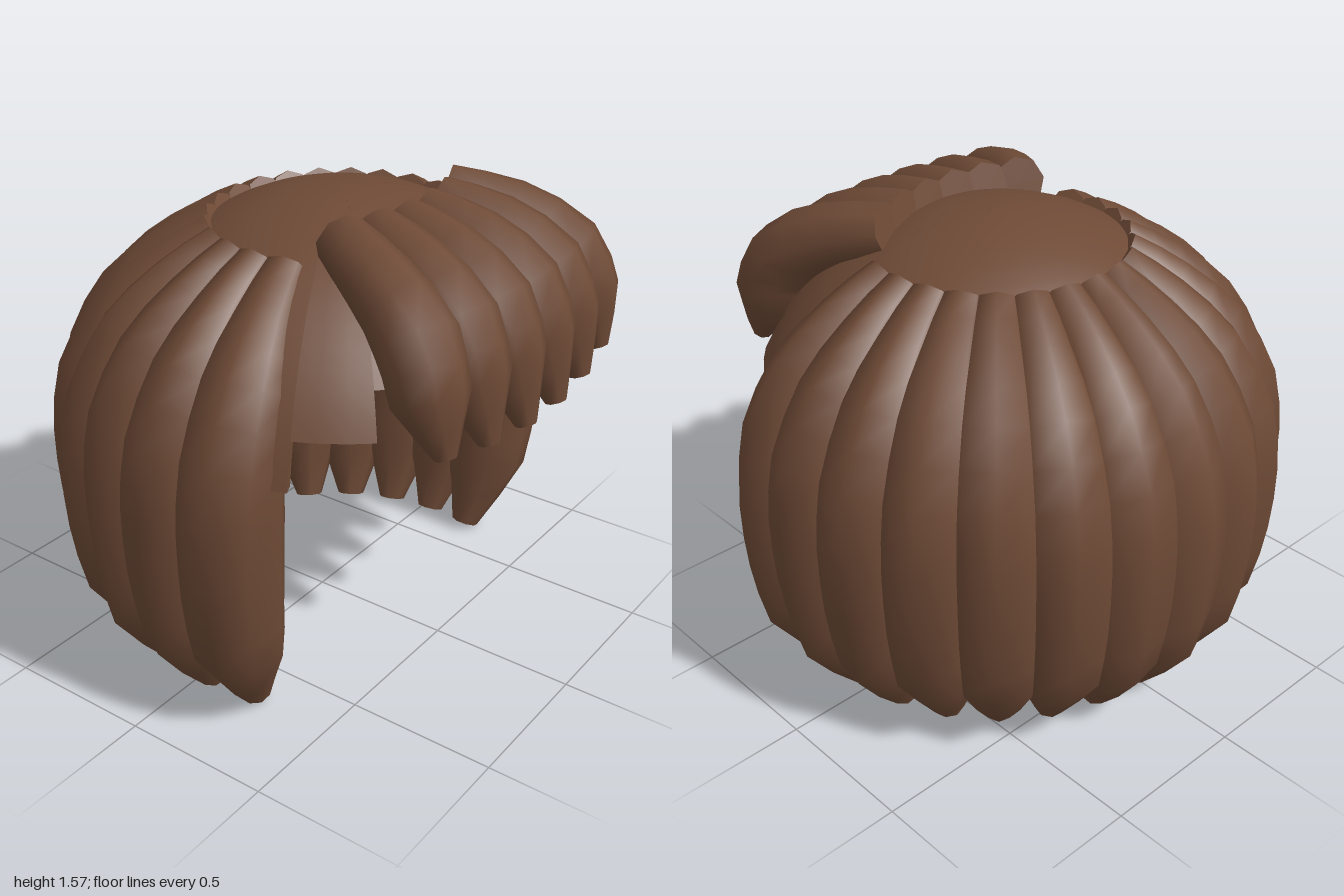
import * as THREE from 'three';
import { toCreasedNormals } from 'three/addons/utils/BufferGeometryUtils.js';

const SIDES = 8;
const CENTRE_Z = 0.08;
const rad = THREE.MathUtils.degToRad;

// Tapered strand: points are [x, y, z, radius]; closed at both ends
function strandGeometry(points) {
  const path = new THREE.CatmullRomCurve3(points.map(p => new THREE.Vector3(p[0], p[1], p[2])));
  const steps = (points.length - 1) * 2;
  const pos = [], idx = [];
  const rings = [], centres = [];
  for (let i = 0; i <= steps; i++) {
    const t = i / steps;
    const c = path.getPoint(t), T = path.getTangent(t);
    const N = new THREE.Vector3().crossVectors(T, new THREE.Vector3(1, 0, 0)).normalize();
    const S = new THREE.Vector3().crossVectors(N, T).normalize();
    const a = Math.floor(i / 2), b = Math.min(a + 1, points.length - 1);
    const r = THREE.MathUtils.lerp(points[a][3], points[b][3], (i % 2) / 2);
    const ring = [];
    for (let j = 0; j < SIDES; j++) {
      const ang = j / SIDES * Math.PI * 2;
      ring.push(c.clone().addScaledVector(N, r * Math.cos(ang)).addScaledVector(S, r * Math.sin(ang)));
    }
    rings.push(ring);
    centres.push(c);
    ring.forEach(v => pos.push(v.x, v.y, v.z));
  }
  for (let i = 0; i < steps; i++) {
    for (let j = 0; j < SIDES; j++) {
      const k = (j + 1) % SIDES;
      const a = i * SIDES + j, b = i * SIDES + k;
      idx.push(a, a + SIDES, b, b, a + SIDES, b + SIDES);
    }
  }
  // End caps with their own vertices, so the rims stay sharp
  for (const [i, first] of [[0, true], [steps, false]]) {
    const base = pos.length / 3;
    [centres[i], ...rings[i]].forEach(v => pos.push(v.x, v.y, v.z));
    for (let j = 0; j < SIDES; j++) {
      const a = base + 1 + j, b = base + 1 + (j + 1) % SIDES;
      if (first) idx.push(base, a, b);
      else idx.push(base, b, a);
    }
  }
  const geo = new THREE.BufferGeometry();
  geo.setAttribute('position', new THREE.Float32BufferAttribute(pos, 3));
  geo.setIndex(idx);
  geo.computeVertexNormals();
  return geo;
}

// Sector of a thick spherical cap, from angle a0 to a1 (0 = front), down to rimY
function capSector(name, a0, a1, rimY, mat) {
  const group = new THREE.Group();
  group.name = name;
  const cy = 0.66, outer = 0.87, inner = 0.83, n = 14;
  const profile = [];
  for (let i = 0; i <= n; i++) {
    const t = Math.acos((rimY - cy) / outer) * (1 - i / n);
    profile.push(new THREE.Vector2(outer * Math.sin(t), cy + outer * Math.cos(t)));
  }
  for (let i = 0; i <= n; i++) {
    const t = Math.acos((rimY - cy) / inner) * i / n;
    profile.push(new THREE.Vector2(inner * Math.sin(t), cy + inner * Math.cos(t)));
  }
  const loop = [...profile, profile[0].clone()];
  const segs = Math.ceil((a1 - a0) / 6);
  const shell = new THREE.LatheGeometry(loop, segs, rad(a0), rad(a1 - a0));
  const shellMesh = new THREE.Mesh(toCreasedNormals(shell, 0.6), mat);
  shellMesh.name = name + 'Shell';
  group.add(shellMesh);
  // Cut faces at both ends of the sector
  for (const a of [a0, a1]) {
    const end = new THREE.Mesh(new THREE.ShapeGeometry(new THREE.Shape(profile)), mat);
    end.name = name + 'CutFace';
    end.rotation.y = rad(a) - Math.PI / 2;
    group.add(end);
  }
  group.position.z = CENTRE_Z;
  return group;
}

export function createModel() {
  const model = new THREE.Group();
  model.name = 'wig';
  const hair = new THREE.MeshStandardMaterial({ color: 0x6e4a36, side: THREE.DoubleSide });
  hair.name = 'brown hair';

  // Skull cap, stepped up around the face
  model.add(capSector('capBack', 65, 295, 0.89, hair));
  model.add(capSector('capLeftTemple', 47, 65, 1.03, hair));
  model.add(capSector('capRightTemple', 295, 313, 1.03, hair));
  model.add(capSector('capFront', -47, 47, 1.16, hair));

  // Long locks around the back and sides
  const lockGeo = strandGeometry([
    [0, 1.395, 0.40, 0.07],
    [0, 1.28, 0.55, 0.10],
    [0, 1.12, 0.68, 0.145],
    [0, 0.92, 0.775, 0.165],
    [0, 0.72, 0.80, 0.17],
    [0, 0.50, 0.795, 0.165],
    [0, 0.27, 0.765, 0.15],
    [0, 0.012, 0.665, 0.05],
  ]);
  const locks = new THREE.Group();
  locks.name = 'longLocks';
  for (let k = -7; k <= 7; k++) {
    const lock = new THREE.Mesh(lockGeo, hair);
    lock.name = 'lock' + (k + 8);
    lock.rotation.y = Math.PI + rad(14.5 * k);
    locks.add(lock);
  }
  locks.position.z = CENTRE_Z;
  model.add(locks);

  // Fringe fanning out over the forehead
  const fringe = new THREE.Group();
  fringe.name = 'fringe';
  for (let i = 0; i < 6; i++) {
    const u = i - 2.5, d = u * u;
    const strand = new THREE.Mesh(strandGeometry([
      [0.115 * u, 1.48, 0.345 - 0.010 * d, 0.09],
      [0.150 * u, 1.425, 0.525 - 0.008 * d, 0.11],
      [0.175 * u, 1.31, 0.69 - 0.006 * d, 0.13],
      [0.187 * u, 1.16, 0.76 - 0.006 * d, 0.12],
      [0.190 * u, 0.955 + 0.006 * d, 0.835 - 0.008 * d, 0.035],
    ]), hair);
    strand.name = 'fringeStrand' + (i + 1);
    fringe.add(strand);
  }
  model.add(fringe);

  return model;
}
